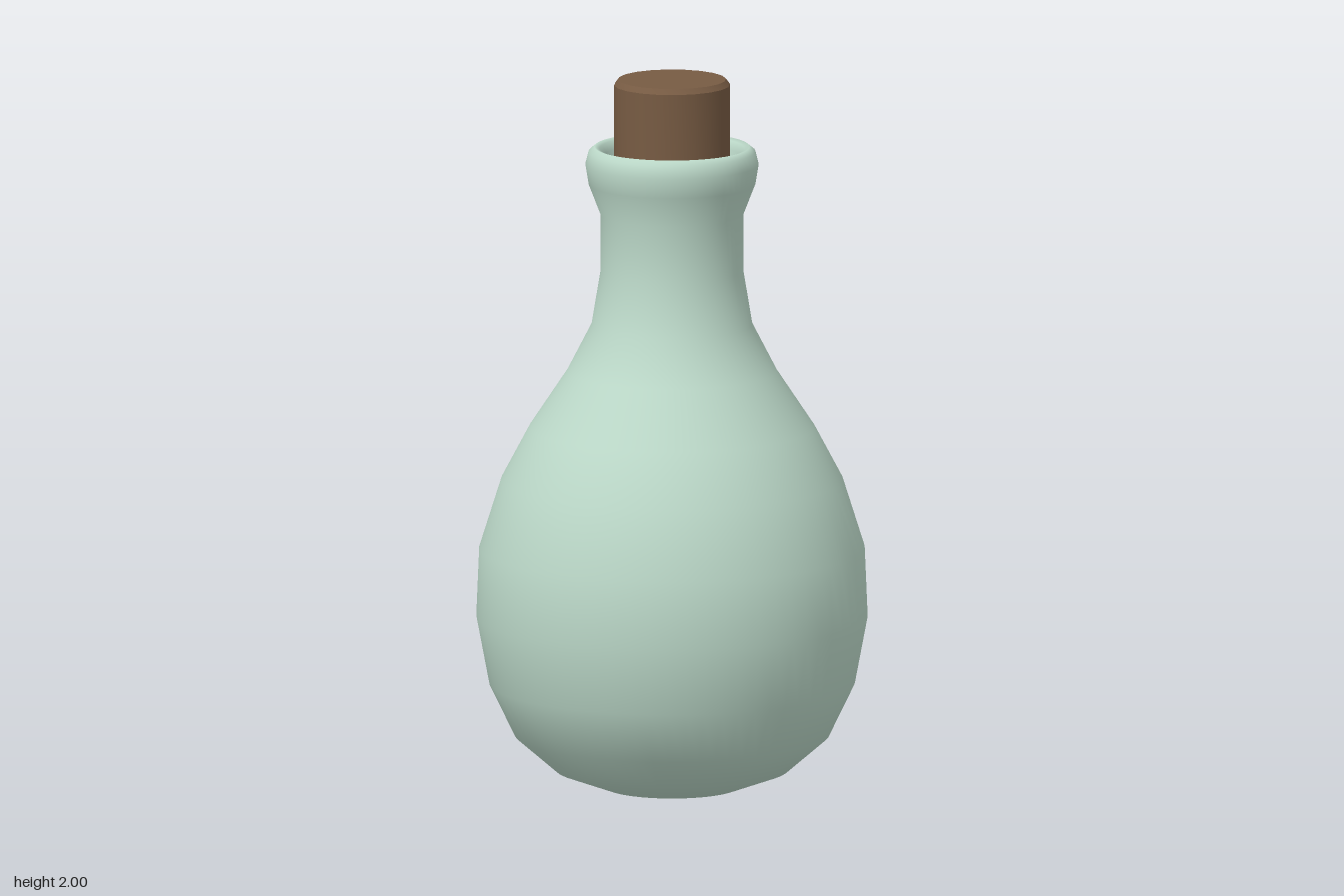
import * as THREE from 'three';
import { toCreasedNormals } from 'three/addons/utils/BufferGeometryUtils.js';

const profile = (pairs) => pairs.map(([r, y]) => new THREE.Vector2(r, y));

export function createModel() {
  const group = new THREE.Group();
  const glass = new THREE.MeshStandardMaterial({ name: 'paleGreenGlass', color: 0xbcd9c9 });
  const corkBrown = new THREE.MeshStandardMaterial({ name: 'corkBrown', color: 0x775b43 });

  const add = (name, geometry, material) => {
    const mesh = new THREE.Mesh(geometry, material);
    mesh.name = name;
    group.add(mesh);
  };

  // Bottle: rounded belly, narrow neck, rolled lip, then down the inside of the mouth
  add('bottle', new THREE.LatheGeometry(profile([
    [0, 0.005], [0.185, 0.035], [0.32, 0.085], [0.43, 0.18], [0.5, 0.325],
    [0.535, 0.51], [0.527, 0.7], [0.467, 0.89], [0.39, 1.035], [0.287, 1.19],
    [0.22, 1.32], [0.195, 1.47], [0.195, 1.625], [0.228, 1.71], [0.237, 1.765],
    [0.228, 1.8], [0.212, 1.813], [0.198, 1.808], [0.19, 1.785], [0.183, 1.74],
    [0.165, 1.65], [0.155, 1.55], [0.155, 1.48],
  ]), 64), glass);

  // Stopper: cylinder with small bevelled edges, sunk into the neck
  const cork = new THREE.LatheGeometry(profile([
    [0, 1.5], [0.148, 1.5], [0.159, 1.512], [0.159, 1.985], [0.148, 2], [0, 2],
  ]), 20);
  add('corkStopper', toCreasedNormals(cork, 0.5), corkBrown);

  return group;
}
